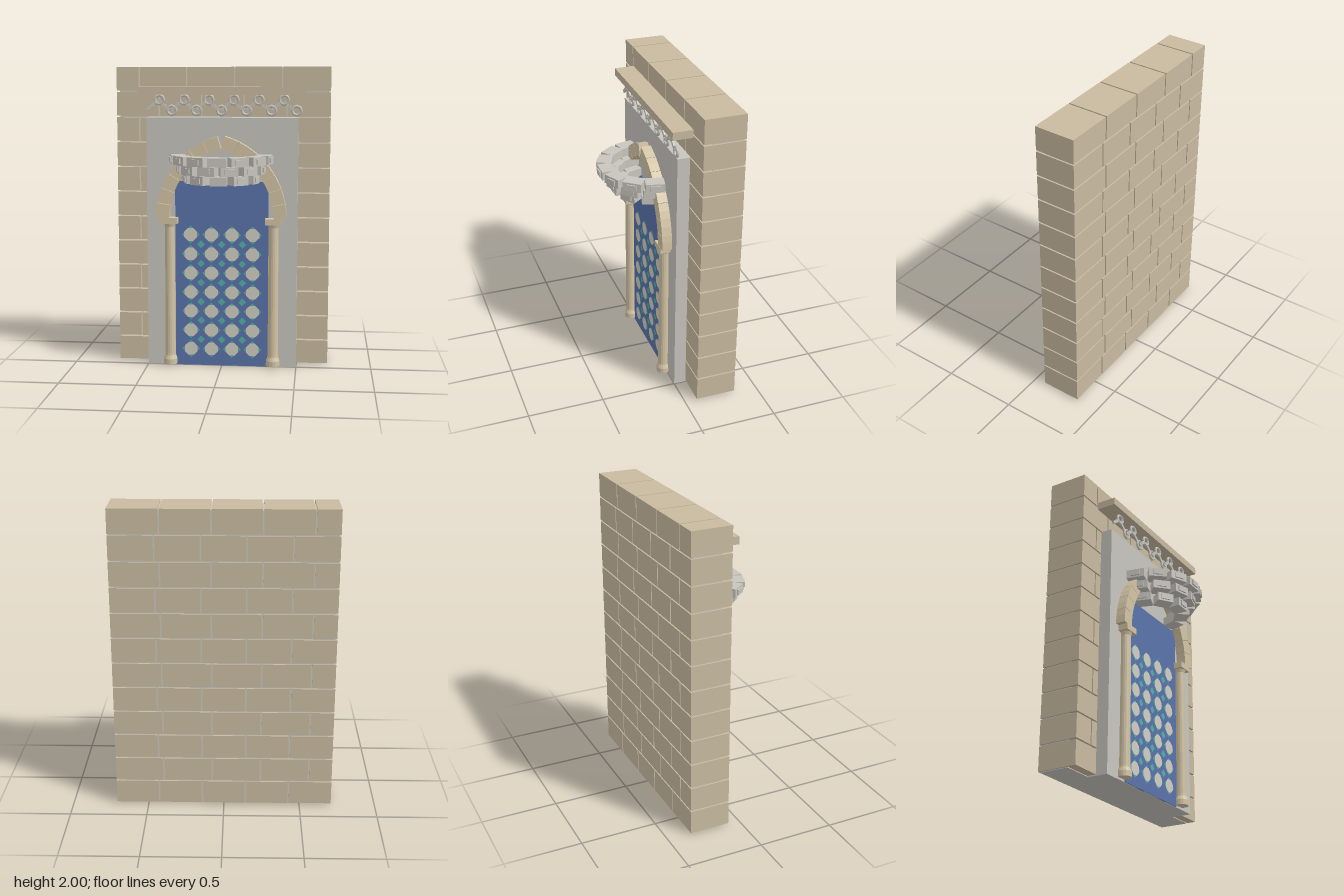
import * as THREE from 'three';

const mat = (name, color) => {
  const m = new THREE.MeshStandardMaterial({ color });
  m.name = name;
  return m;
};

export function createModel() {
  const root = new THREE.Group();
  root.name = 'archedNiche';
  const brickMat = mat('sandstone', 0xc8baa0);
  const archMat = mat('paleSandstone', 0xd3c4a5);
  const plaster = mat('greyPlaster', 0xc8c5be);
  const blue = mat('blueTile', 0x5a73aa);
  const teal = mat('tealTile', 0x52b0a6);
  const cream = mat('creamTile', 0xd2cec4);

  const add = (parent, name, geo, m, x = 0, y = 0, z = 0) => {
    const mesh = new THREE.Mesh(geo, m);
    mesh.name = name;
    mesh.position.set(x, y, z);
    parent.add(mesh);
    return mesh;
  };
  const group = (name, parent = root) => {
    const g = new THREE.Group();
    g.name = name;
    parent.add(g);
    return g;
  };
  const box = (w, h, d) => new THREE.BoxGeometry(w, h, d);

  // Brick wall: two alternating course layouts around a mortar core
  const wall = group('brickWall');
  const layouts = [
    [-0.71, -0.426, -0.142, 0.142, 0.426, 0.71],
    [-0.71, -0.557, -0.24, 0.077, 0.394, 0.71],
  ];
  const pitch = 2 / 12, gap = 0.01;
  for (let row = 0; row < 12; row++) {
    const joints = layouts[row % 2];
    for (let i = 0; i < 5; i++) {
      const x0 = joints[i] + (i > 0 ? gap / 2 : 0);
      const x1 = joints[i + 1] - (i < 4 ? gap / 2 : 0);
      add(wall, 'brick', box(x1 - x0, pitch - gap, 0.265), brickMat,
        (x0 + x1) / 2, (row + 0.5) * pitch + gap / 2, -0.2125);
    }
  }
  add(wall, 'mortarCore', box(1.4, 1.985, 0.195), plaster, 0, 0.9975, -0.2375);

  // Plaster panel, blue door field and lintel shelf
  add(root, 'backPanel', box(1, 1.67, 0.14), plaster, 0, 0.835, -0.07);
  add(root, 'blueField', box(0.62, 1.25, 0.006), blue, 0, 0.626, 0.003);
  add(root, 'lintel', box(1.095, 0.05, 0.13), brickMat, 0, 1.845, -0.015);

  // Tile pattern: star tiles with small diamonds in between
  const tiles = group('tilePattern');
  const diamond = (r) => new THREE.CircleGeometry(r, 4);
  const octagon = new THREE.CircleGeometry(0.047, 8).rotateZ(Math.PI / 8);
  for (let r = 0; r < 7; r++) {
    for (let c = 0; c < 4; c++) {
      const x = (c - 1.5) * 0.138, y = 0.115 + r * 0.13;
      add(tiles, 'starTile', diamond(0.06), teal, x, y, 0.009);
      add(tiles, 'starCentre', octagon, cream, x, y, 0.012);
      if (r < 6 && c < 3) {
        add(tiles, 'smallDiamond', diamond(0.026), teal, x + 0.069, y + 0.065, 0.009);
      }
    }
  }

  // Columns with turned bases and square capitals
  const profile = [[0, 0.015], [0.046, 0.015], [0.046, 0.05], [0.036, 0.075],
    [0.035, 0.09], [0.032, 0.95], [0.04, 0.975], [0, 0.975]]
    .map(([x, y]) => new THREE.Vector2(x, y));
  for (const s of [-1, 1]) {
    const column = group(s < 0 ? 'rightColumn' : 'leftColumn');
    column.position.set(s * 0.345, 0, 0.022);
    const shaft = new THREE.LatheGeometry(profile, 16).toNonIndexed();
    shaft.computeVertexNormals();
    add(column, 'shaft', shaft, archMat);
    add(column, 'capital', box(0.11, 0.04, 0.085), archMat, 0, 0.992, 0.002);
  }

  // Pointed arch: seven wedge stones on each side
  const arch = group('pointedArch');
  const cx = 0.134, cy = 1.01, inner = 0.479, outer = 0.564;
  const step = Math.acos(cx / inner) / 7;
  for (const s of [-1, 1]) {
    for (let i = 0; i < 7; i++) {
      const pts = [];
      const a0 = i * step + 0.002, a1 = (i + 1) * step - 0.002;
      for (const [r, a] of [[inner, a0], [outer, a0], [outer, (a0 + a1) / 2],
        [outer, a1], [inner, a1], [inner, (a0 + a1) / 2]]) {
        pts.push(new THREE.Vector2(s * (r * Math.cos(a) - cx), cy + r * Math.sin(a)));
      }
      const geo = new THREE.ExtrudeGeometry(new THREE.Shape(pts), { depth: 0.065, bevelEnabled: false });
      add(arch, 'archStone', geo, archMat);
    }
  }

  // Stepped half-round canopy: three tiers of radial blocks with raised faces
  const canopy = group('steppedCanopy');
  const tiers = [
    { n: 7, r: 0.335, y: 1.402, w: 0.12 },
    { n: 6, r: 0.292, y: 1.339, w: 0.115 },
    { n: 5, r: 0.247, y: 1.274, w: 0.108 },
  ];
  for (const t of tiers) {
    const tier = group('canopyTier', canopy);
    for (let i = 0; i < t.n; i++) {
      const block = group('canopyBlock', tier);
      block.position.y = t.y;
      block.rotation.y = ((i + 0.5) / t.n - 0.5) * Math.PI;
      add(block, 'blockBody', box(t.w, 0.058, 0.093), plaster, 0, 0, t.r - 0.0465);
      add(block, 'raisedFace', box(0.062, 0.034, 0.009), plaster, 0, 0, t.r + 0.0045);
    }
  }

  // Zigzag chain of rings and links beneath the lintel
  const chain = group('zigzagChain');
  const ring = new THREE.TorusGeometry(0.03, 0.009, 6, 8);
  for (let i = 0; i < 12; i++) {
    const x = -0.41 + i * 0.0818, up = i % 2 === 0;
    add(chain, 'ring', ring, plaster, x, up ? 1.787 : 1.718, 0.006);
    const link = add(chain, 'link', box(0.085, 0.02, 0.012), plaster, x - 0.05, 1.748, 0.006);
    link.rotation.z = (up ? 1 : -1) * 0.7;
  }

  return root;
}
